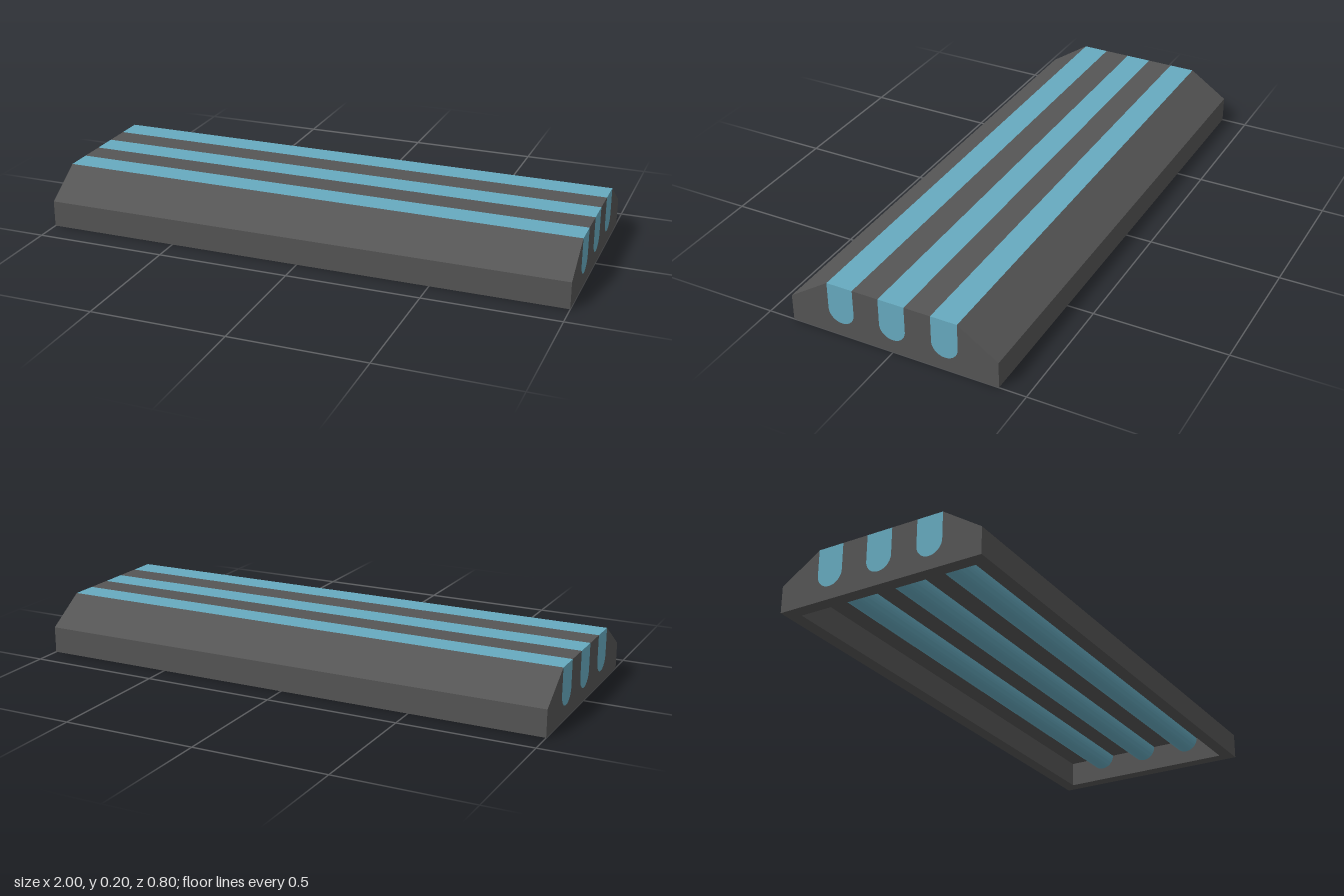
import * as THREE from 'three';
import { toCreasedNormals } from 'three/addons/utils/BufferGeometryUtils.js';

const LENGTH = 2, WALL = 0.05, R = 0.05;
const SLOTS = [-0.2, 0, 0.2];

// Extrude a cross-section (across, up) along x, centred on the given x
function bar(name, shape, length, x, material) {
  const g = new THREE.ExtrudeGeometry(shape, { depth: length, bevelEnabled: false, curveSegments: 24 });
  g.translate(0, 0, -length / 2);
  g.rotateY(Math.PI / 2);
  const mesh = new THREE.Mesh(toCreasedNormals(g, 0.6), material);
  mesh.name = name;
  mesh.position.x = x;
  return mesh;
}

const polygon = (pts) => new THREE.Shape(pts.map(([a, b]) => new THREE.Vector2(a, b)));

export function createModel() {
  const group = new THREE.Group();
  group.name = 'groovedBar';
  const dark = new THREE.MeshStandardMaterial({ color: 0x555555 });
  const blue = new THREE.MeshStandardMaterial({ color: 0x66aabf });
  const inner = LENGTH - 2 * WALL;

  // Sloped long sides with a thin wall below
  for (const s of [-1, 1]) {
    const side = polygon([[0.25, 0.2], [0.4, 0.1], [0.4, 0], [0.35, 0], [0.35, 0.1], [0.25, 0.1]]
      .map(([a, b]) => [a * s, b]));
    group.add(bar(s < 0 ? 'frontSide' : 'backSide', side, inner, 0, dark));

    // Top ribs between the inlays
    const rib = polygon([[0.05, 0.1], [0.15, 0.1], [0.15, 0.2], [0.05, 0.2]].map(([a, b]) => [a * s, b]));
    group.add(bar(s < 0 ? 'frontRib' : 'backRib', rib, inner, 0, dark));
  }

  // End walls, slotted for the inlays
  const end = new THREE.Shape();
  end.moveTo(-0.4, 0);
  end.lineTo(-0.4, 0.1);
  for (const c of SLOTS) {
    end.lineTo(c - R, 0.2);
    end.lineTo(c - R, 0.1);
    end.absarc(c, 0.1, R, Math.PI, 2 * Math.PI, false);
    end.lineTo(c + R, 0.2);
  }
  end.lineTo(0.4, 0.1);
  end.lineTo(0.4, 0);
  for (const s of [-1, 1]) {
    group.add(bar(s < 0 ? 'rightEnd' : 'leftEnd', end, WALL, s * (LENGTH - WALL) / 2, dark));
  }

  // Round-bottomed inlays running the full length
  SLOTS.forEach((c, i) => {
    const inlay = new THREE.Shape();
    inlay.moveTo(c - R, 0.2);
    inlay.lineTo(c - R, 0.1);
    inlay.absarc(c, 0.1, R, Math.PI, 2 * Math.PI, false);
    inlay.lineTo(c + R, 0.2);
    group.add(bar(`inlay${i + 1}`, inlay, LENGTH, 0, blue));
  });

  return group;
}
